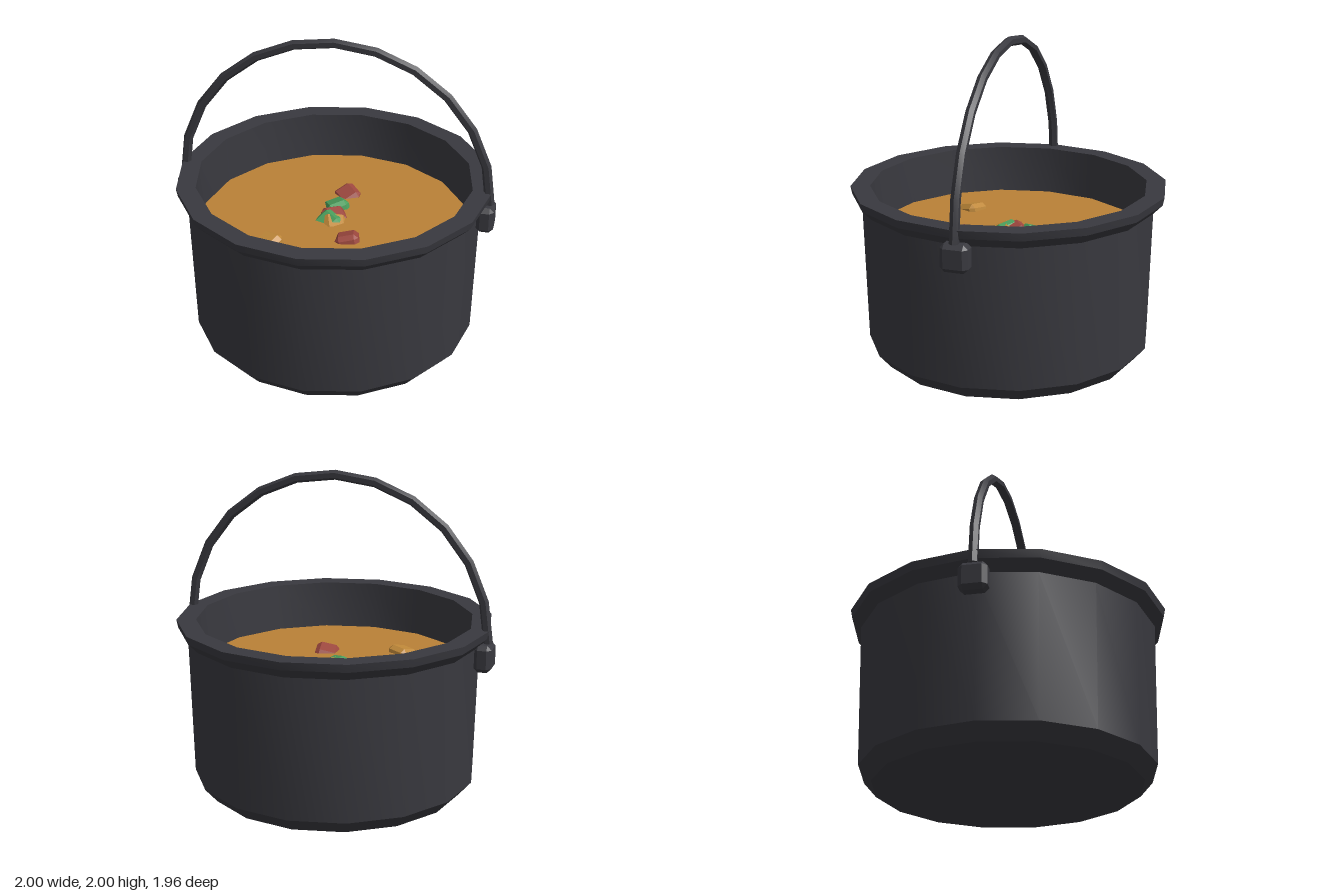
import * as THREE from 'three';
import { toCreasedNormals } from 'three/addons/utils/BufferGeometryUtils.js';
import { ConvexGeometry } from 'three/addons/geometries/ConvexGeometry.js';

const SIDES = 16;
const SOUP_Y = 0.78;

const material = (name, color) => {
  const m = new THREE.MeshStandardMaterial({ color });
  m.name = name;
  return m;
};

// Box with every edge and corner cut at an angle
function chamferedBox(w, h, d, c) {
  const half = [w / 2, h / 2, d / 2];
  const points = [];
  for (let axis = 0; axis < 3; axis++)
    for (const sx of [-1, 1]) for (const sy of [-1, 1]) for (const sz of [-1, 1]) {
      const p = [sx, sy, sz].map((s, i) => s * (half[i] - (i === axis ? 0 : c)));
      points.push(new THREE.Vector3(...p));
    }
  return new ConvexGeometry(points);
}

export function createModel() {
  const group = new THREE.Group();
  const iron = material('dark iron', 0x39393f);
  const broth = material('amber broth', 0xba8137);
  const red = material('red vegetable', 0x9c473e);
  const green = material('green vegetable', 0x4a9d5b);
  const orange = material('orange vegetable', 0xbf8839);

  const add = (name, geometry, mat, x = 0, y = 0, z = 0) => {
    const mesh = new THREE.Mesh(geometry, mat);
    mesh.name = name;
    mesh.position.set(x, y, z);
    group.add(mesh);
    return mesh;
  };

  // Pot shell: floor, chamfer, wall, flared rim and inner wall
  const profile = [
    [0, 0], [0.81, 0], [0.888, 0.09], [0.91, 0.97], [0.968, 1.03],
    [0.978, 1.08], [0.858, 1.08], [0.842, 0.74],
  ].map(([r, y]) => new THREE.Vector2(r, y));
  add('pot', toCreasedNormals(new THREE.LatheGeometry(profile, SIDES), 0.5), iron);

  // Broth surface
  const surface = new THREE.CircleGeometry(0.846, SIDES);
  surface.rotateX(-Math.PI / 2);
  add('broth', surface, broth, 0, SOUP_Y, 0);

  // Arched handle
  const arch = new THREE.TorusGeometry(0.965, 0.03, 6, 12, Math.PI);
  add('handle', toCreasedNormals(arch, 0.5), iron, 0, 1, 0);

  // Lugs holding the handle
  const lug = chamferedBox(0.11, 0.17, 0.17, 0.027);
  for (const side of [-1, 1])
    add(side > 0 ? 'leftLug' : 'rightLug', lug, iron, side * 0.945, 0.915, 0);

  // Vegetable chunks floating half sunk: material, x, z, tilt x, turn y, tilt z, depth
  const chunk = chamferedBox(0.15, 0.13, 0.15, 0.027);
  [
    [red, 0.02, -0.32, 0.3, 0.75, 0.2, 0.035],
    [green, -0.015, -0.15, -0.3, 0.5, 0.35, 0.035],
    [red, -0.01, -0.03, 0.35, 0.6, -0.3, 0.035],
    [green, -0.03, 0.03, 0.3, 0.9, 0.3, 0.04],
    [orange, 0.005, 0.04, 0.4, 0.3, -0.3, 0.045],
    [red, 0.135, 0.23, -0.25, 0.15, 0.25, 0.035],
    [orange, -0.33, 0.36, 0.25, -0.45, 0.2, 0.035],
  ].forEach(([mat, x, z, rx, ry, rz, sink], i) => {
    add(`vegetableChunk${i + 1}`, chunk, mat, x, SOUP_Y - sink, z).rotation.set(rx, ry, rz);
  });

  return group;
}
